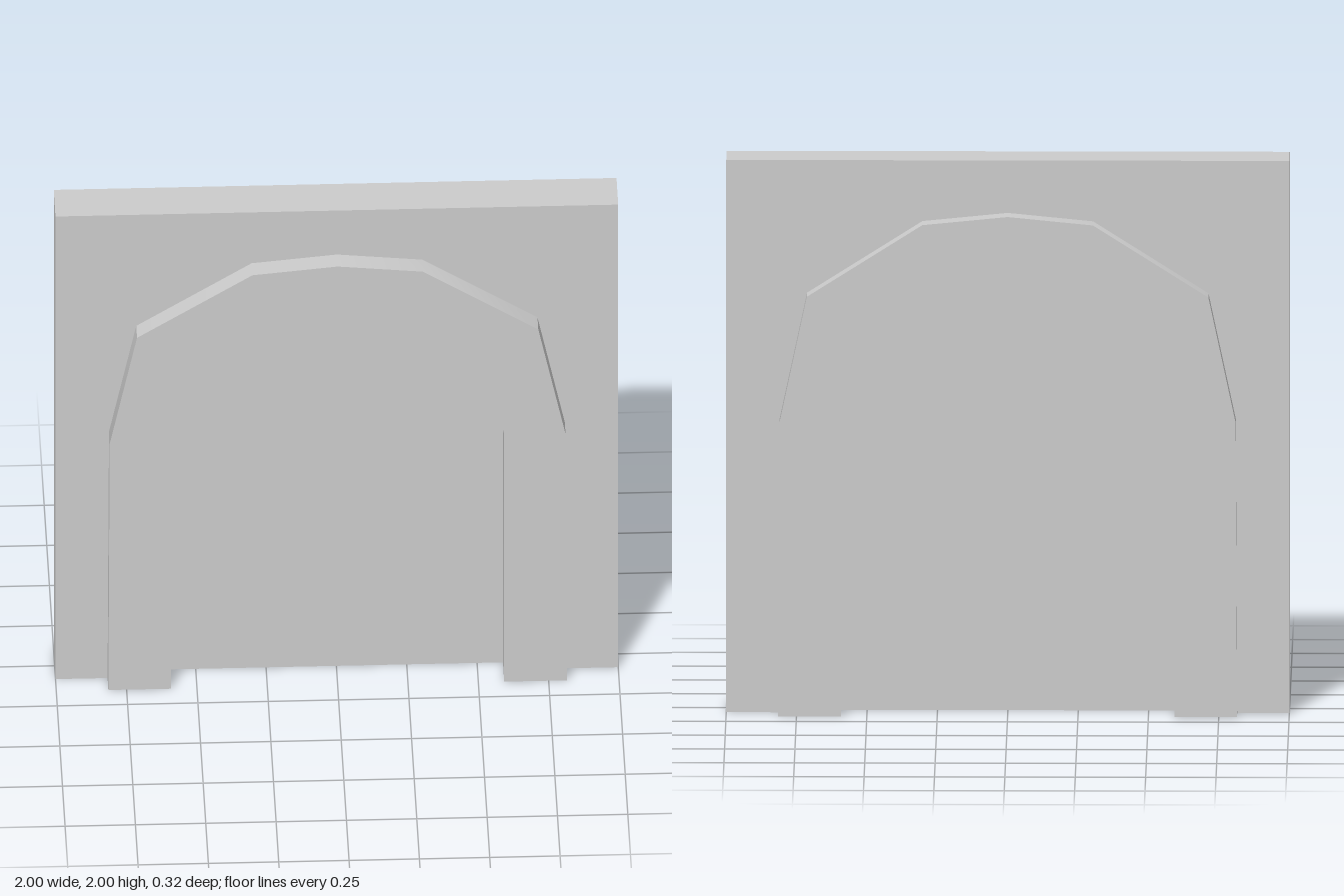
import * as THREE from 'three';
import { toCreasedNormals } from 'three/addons/utils/BufferGeometryUtils.js';

// Right half of each arch line, from the floor up to the crown
const OUTER = [[0.815, 0], [0.81, 1.065], [0.713, 1.52], [0.303, 1.78], [0, 1.81]];
const INNER = [[0.592, 0], [0.592, 1.07], [0.525, 1.385], [0.228, 1.565], [0, 1.602]];
const WALL = [[1, 0], [1, 2], [0, 2]];

// Mirror a half line into a full one running right foot -> crown -> left foot
const full = (half) => [...half, ...half.slice(0, -1).reverse().map(([x, y]) => [-x, y])];

export function createModel() {
  const group = new THREE.Group();
  const material = new THREE.MeshStandardMaterial({ color: 0xcccccc });

  // Extrude an outline symmetrically about z = 0, smoothing only shallow bends
  const addSlab = (name, points, depth) => {
    const shape = new THREE.Shape(points.map(([x, y]) => new THREE.Vector2(x, y)));
    const geometry = new THREE.ExtrudeGeometry(shape, { depth, bevelEnabled: false });
    geometry.translate(0, 0, -depth / 2);
    const mesh = new THREE.Mesh(toCreasedNormals(geometry, 0.55), material);
    mesh.name = name;
    group.add(mesh);
  };

  // Wall around the arch, the raised surround on both faces, and the thin recessed infill
  addSlab('wall', [...full(WALL), ...full(OUTER).reverse()], 0.166);
  addSlab('archSurround', [...full(OUTER), ...full(INNER).reverse()], 0.316);
  addSlab('recessedPanel', full(INNER), 0.075);

  return group;
}
